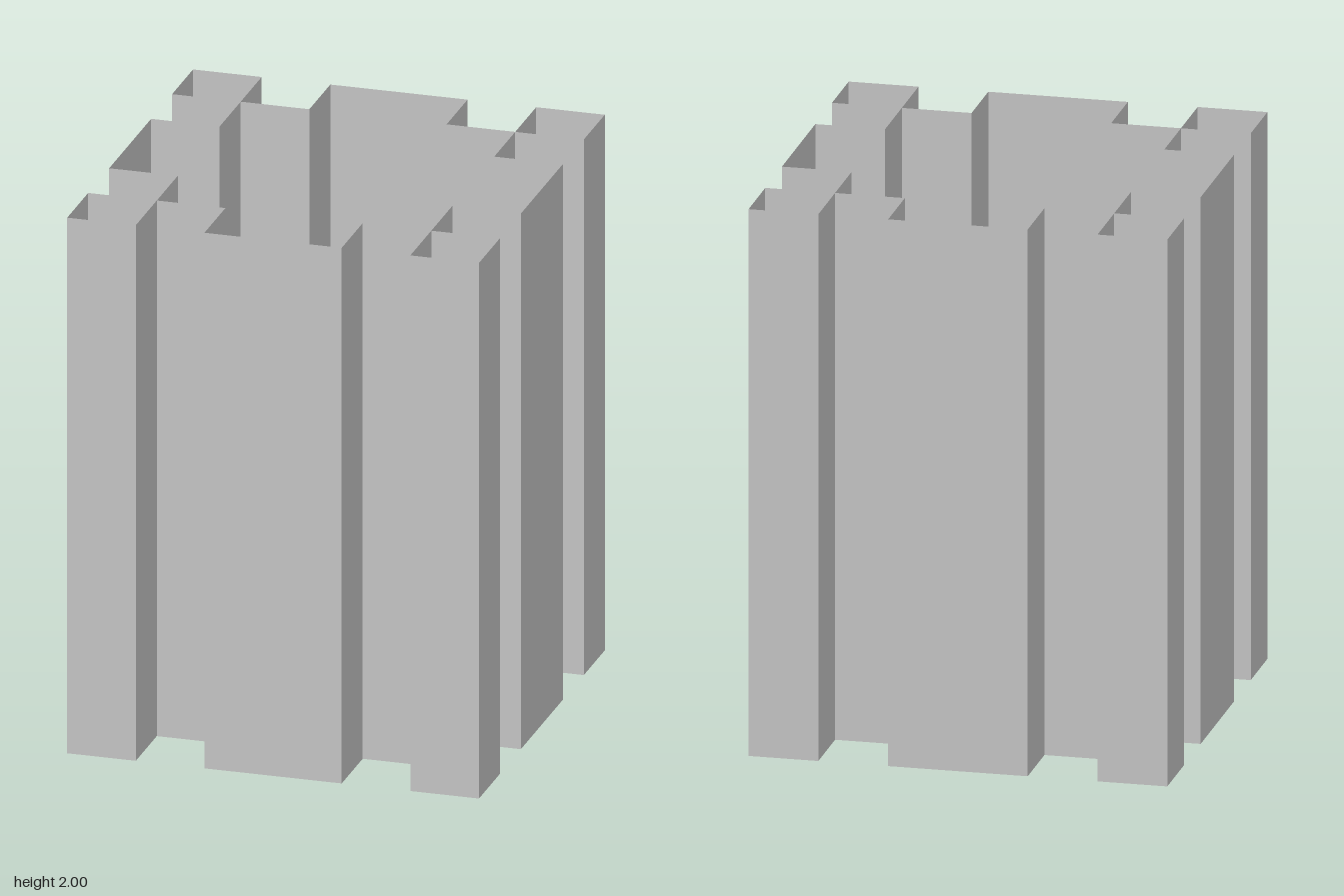
import * as THREE from 'three';

const HEIGHT = 2;
const material = new THREE.MeshStandardMaterial({
  color: 0xcccccc, flatShading: true, side: THREE.DoubleSide,
});

// Open-ended sheet tube: one upright wall per side of a closed [x, z] outline
function tube(name, outline) {
  const positions = [];
  outline.forEach(([ax, az], i) => {
    const [bx, bz] = outline[(i + 1) % outline.length];
    positions.push(
      ax, 0, az, bx, 0, bz, bx, HEIGHT, bz,
      ax, 0, az, bx, HEIGHT, bz, ax, HEIGHT, az,
    );
  });
  const geometry = new THREE.BufferGeometry();
  geometry.setAttribute('position', new THREE.Float32BufferAttribute(positions, 3));
  geometry.computeVertexNormals();
  const mesh = new THREE.Mesh(geometry, material);
  mesh.name = name;
  return mesh;
}

// Quarter turns about y, running from +z towards +x
function turn([x, z], quarters) {
  for (let i = 0; i < quarters; i++) [x, z] = [z, -x];
  return [x, z];
}

export function createModel() {
  const group = new THREE.Group();
  group.name = 'steppedTube';

  // Central shell: a stepped cross, the same run of corners for each quarter
  const quarter = [[-0.25, 0.75], [0.25, 0.75], [0.25, 0.5], [0.5, 0.5], [0.5, 0.25]];
  const shell = [0, 1, 2, 3].flatMap((q) => quarter.map((p) => turn(p, q)));
  group.add(tube('centralShell', shell));

  // Square corner posts, each touching the shell along one edge
  const post = [[0.5, 0.75], [0.75, 0.75], [0.75, 0.5], [0.5, 0.5]];
  const names = ['frontLeftPost', 'backLeftPost', 'backRightPost', 'frontRightPost'];
  names.forEach((name, q) => group.add(tube(name, post.map((p) => turn(p, q)))));

  return group;
}
